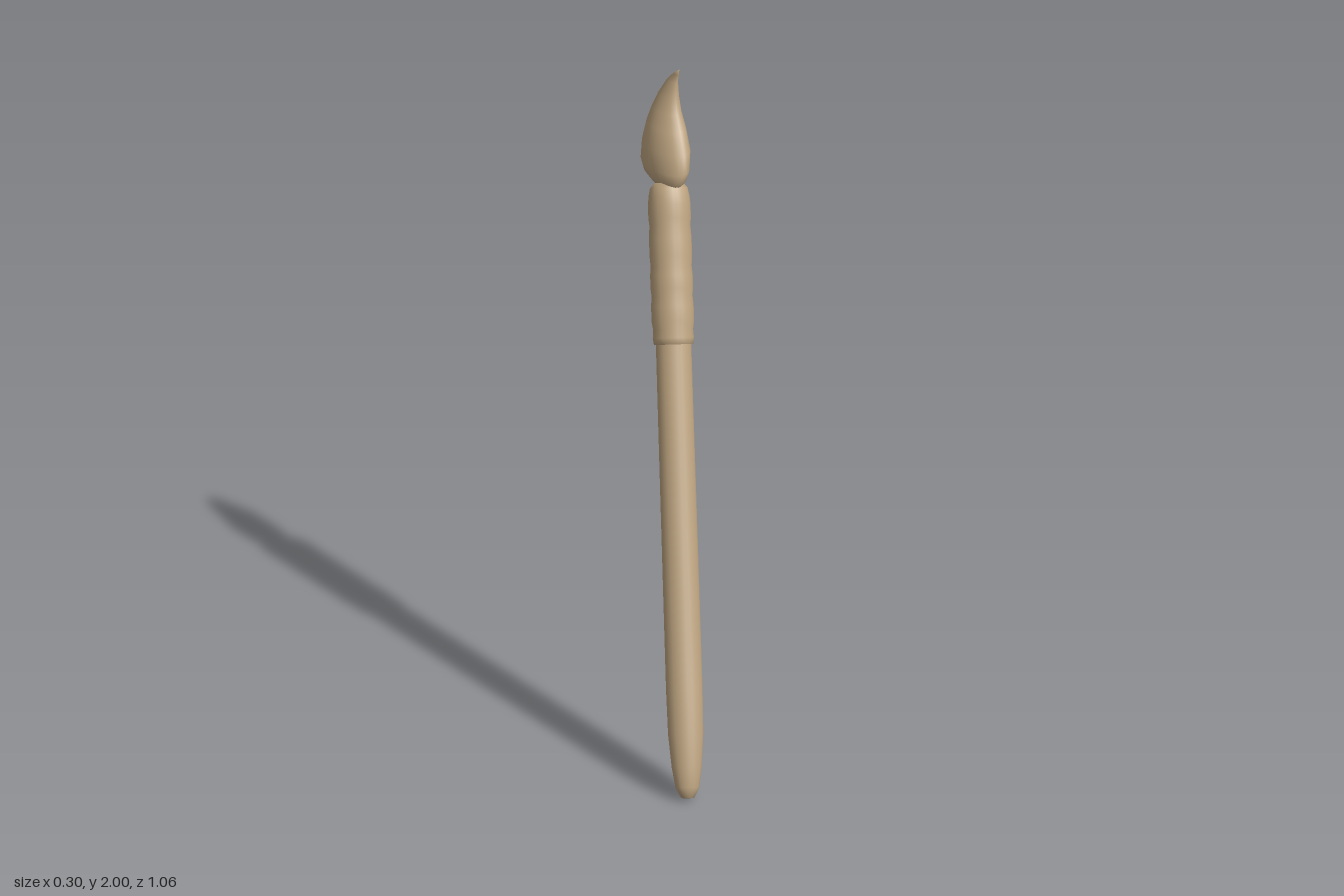
import * as THREE from 'three';
import { mergeVertices } from 'three/addons/utils/BufferGeometryUtils.js';

const wood = new THREE.MeshStandardMaterial({ color: 0xb89f7c });
wood.name = 'tan';

// Lathed part, flattened front to back; pairs are [radius, distance along the shaft]
function turned(name, pairs, flatten) {
  const points = pairs.map(([r, s]) => new THREE.Vector2(r, s));
  const geometry = new THREE.LatheGeometry(points, 24);
  geometry.scale(1, 1, flatten);
  const mesh = new THREE.Mesh(geometry, wood);
  mesh.name = name;
  return mesh;
}

// Bristle tuft: oval sections given as [y, xMin, xMax, zMin, zMax]
function bristles() {
  const sections = [
    [1.64, 0.08, 0.08, -0.405, -0.405],
    [1.647, 0.058, 0.092, -0.44, -0.36],
    [1.66, 0.035, 0.108, -0.464, -0.335],
    [1.682, 0.019, 0.127, -0.49, -0.321],
    [1.713, 0.013, 0.14, -0.507, -0.321],
    [1.766, 0.023, 0.15, -0.525, -0.347],
    [1.82, 0.042, 0.149, -0.533, -0.401],
    [1.862, 0.061, 0.143, -0.533, -0.44],
    [1.905, 0.082, 0.14, -0.528, -0.464],
    [1.952, 0.108, 0.139, -0.515, -0.48],
    [1.98, 0.125, 0.14, -0.496, -0.478],
    [2.0, 0.14, 0.14, -0.475, -0.475],
  ];
  const n = sections.length;
  let geometry = new THREE.LatheGeometry(sections.map(s => new THREE.Vector2(1, s[0])), 24);
  const pos = geometry.attributes.position;
  const skew = 0.4;
  for (let i = 0; i < pos.count; i++) {
    const [y, x0, x1, z0, z1] = sections[i % n];
    const u = pos.getX(i), v = pos.getZ(i);
    const w = v * Math.sqrt(1 - skew * skew) + u * skew;
    pos.setXYZ(i, (x0 + x1) / 2 + u * (x1 - x0) / 2, y, (z0 + z1) / 2 + w * (z1 - z0) / 2);
  }
  geometry.deleteAttribute('uv');
  geometry.deleteAttribute('normal');
  geometry = mergeVertices(geometry, 1e-5);
  geometry.computeVertexNormals();
  const mesh = new THREE.Mesh(geometry, wood);
  mesh.name = 'bristles';
  return mesh;
}

export function createModel() {
  const model = new THREE.Group();
  model.name = 'paintbrush';

  // Shaft frame, leaning back and slightly to one side
  const shaft = new THREE.Group();
  shaft.name = 'shaft';
  const up = new THREE.Vector3(0.1175, 1, -0.54).normalize();
  const front = new THREE.Vector3(1, 0, 0).cross(up).normalize();
  const side = new THREE.Vector3().crossVectors(up, front);
  shaft.quaternion.setFromRotationMatrix(new THREE.Matrix4().makeBasis(side, up, front));
  shaft.position.set(-0.118, 0, 0.52);

  // Handle with a rounded, tapered end
  shaft.add(turned('handle', [
    [0, 0.012], [0.02, 0.014], [0.037, 0.045], [0.047, 0.11],
    [0.055, 0.21], [0.057, 0.35], [0.056, 1.0], [0.055, 1.46],
  ], 0.77));

  // Ferrule: flared lip, softly swelling rings, rounded shoulder
  const ferrule = [[0.05, 1.405], [0.061, 1.405], [0.064, 1.425], [0.062, 1.45]];
  const seams = [1.45, 1.555, 1.645, 1.77, 1.86];
  for (let i = 0; i < seams.length - 1; i++) {
    const a = seams[i], b = seams[i + 1];
    ferrule.push([0.066, a + (b - a) * 0.25], [0.066, a + (b - a) * 0.7], [0.0635, b]);
  }
  ferrule.push([0.058, 1.885], [0.045, 1.9], [0, 1.905]);
  shaft.add(turned('ferrule', ferrule, 0.84));

  model.add(shaft, bristles());
  return model;
}
